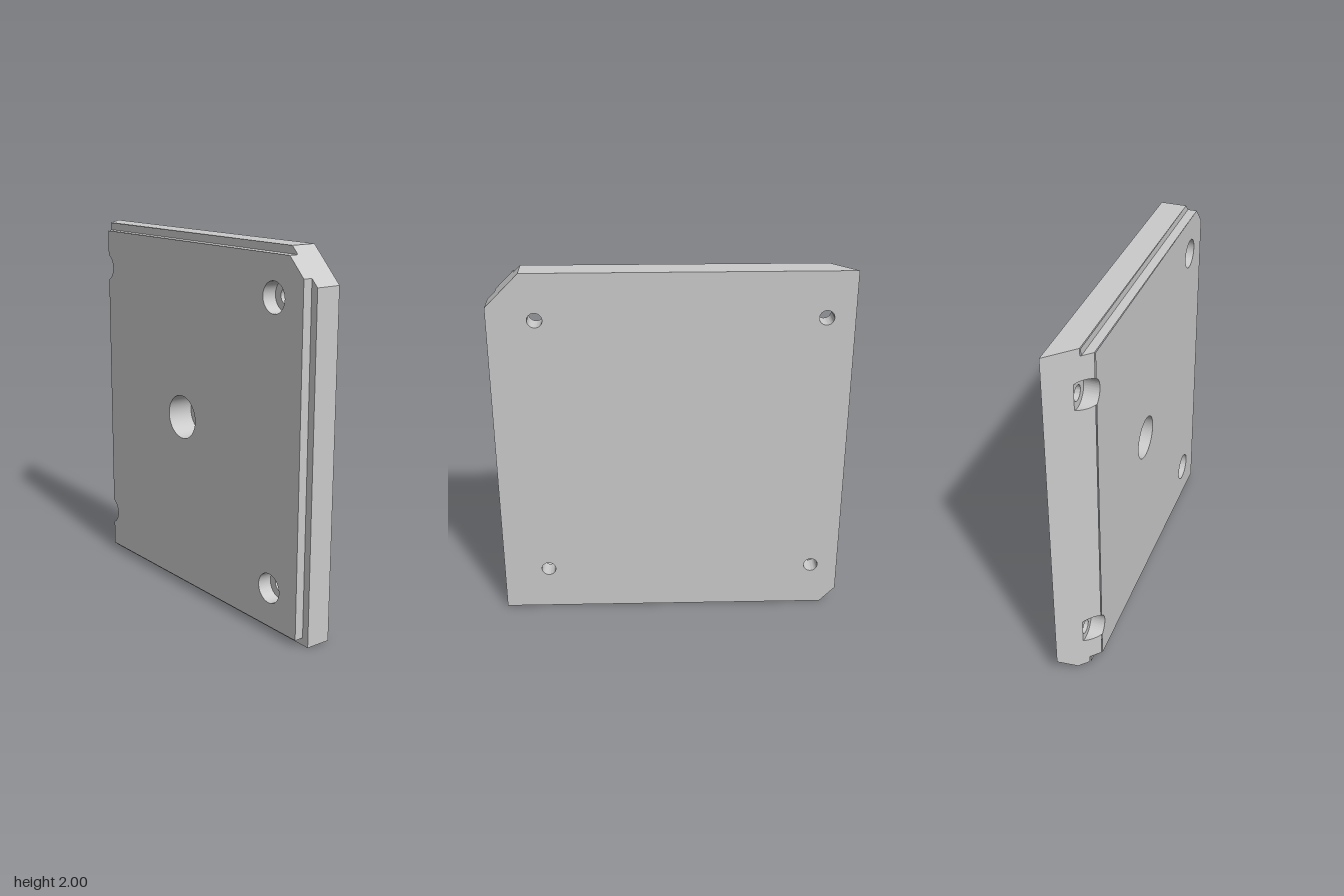
import * as THREE from 'three';
import { toCreasedNormals } from 'three/addons/utils/BufferGeometryUtils.js';

const BACK = -0.095, LEDGE = 0.045, FRONT = 0.095; // depth levels
const FLOOR = 0.015;                               // counterbore floor
const SCREW_R = 0.0395, BORE_R = 0.08;
const bevelZ = (x) => x + 0.855;                   // 45 degree edge on the -x side
const upTo = (top) => (x) => Math.min(bevelZ(x), top);

// Points along a circular arc
function arc(cx, cy, r, a0 = 0, a1 = Math.PI * 2, n = 48) {
  return Array.from({ length: n + 1 }, (_, i) => {
    const a = a0 + (a1 - a0) * i / n;
    return [cx + r * Math.cos(a), cy + r * Math.sin(a)];
  });
}
const toVectors = (pts) => pts.map(([x, y]) => new THREE.Vector2(x, y));

// Filled outline with holes, lifted to depth z(x); returns triangle positions
function face(outline, holes, z, flip = false) {
  const shape = new THREE.Shape(toVectors(outline));
  shape.holes = holes.map((h) => new THREE.Path(toVectors(h)));
  const geo = new THREE.ShapeGeometry(shape).toNonIndexed();
  const p = geo.attributes.position, out = [];
  for (let i = 0; i < p.count; i += 3) {
    for (const k of flip ? [0, 2, 1] : [0, 1, 2]) {
      const x = p.getX(i + k);
      out.push(x, p.getY(i + k), z(x));
    }
  }
  return out;
}

// Strip of wall along a path; outward for anticlockwise paths, inward if flipped
function wall(path, z0, z1, flip = false) {
  const pts = flip ? [...path].reverse() : path, out = [];
  for (let i = 0; i < pts.length - 1; i++) {
    const [px, py] = pts[i], [qx, qy] = pts[i + 1];
    out.push(px, py, z0, qx, qy, z0, qx, qy, z1(qx));
    out.push(px, py, z0, qx, qy, z1(qx), px, py, z1(px));
  }
  return out;
}

function createModel() {
  const model = new THREE.Group();
  const material = new THREE.MeshStandardMaterial({ color: 0xcccccc });
  const add = (name, ...parts) => {
    const geo = new THREE.BufferGeometry();
    geo.setAttribute('position', new THREE.Float32BufferAttribute(parts.flat(), 3));
    const mesh = new THREE.Mesh(toCreasedNormals(geo, 0.5), material);
    mesh.name = name;
    model.add(mesh);
  };
  const level = (z) => () => z;

  const LX = -0.8, RX = 0.7, rows = [0.25, 1.75];
  const tFront = Math.acos((-0.765 - LX) / BORE_R); // bore meets the front edge
  const tFloor = Math.acos((-0.84 - LX) / BORE_R);  // bore floor meets the bevel
  const screws = [LX, RX].flatMap((x) => rows.map((y) => [x, y]));
  const centre = arc(-0.05, 1, 0.12, 0, Math.PI * 2, 64);

  // Back plate with two clipped corners
  const outline = [[-0.95, 0.09], [-0.865, 0], [-0.815, 0], [0.95, 0],
    [0.95, 1.82], [0.77, 2], [-0.815, 2], [-0.95, 2]];
  add('backPlate',
    face(outline, screws.map(([x, y]) => arc(x, y, SCREW_R)), level(BACK), true),
    wall(outline, BACK, upTo(LEDGE)));

  // Stepped ledge around the raised panel
  add('ledge',
    face([[-0.815, 0], [0.95, 0], [0.95, 1.82], [0.91, 1.86], [0.91, 0.04], [-0.815, 0.04]], [], level(LEDGE)),
    face([[-0.815, 1.96], [0.81, 1.96], [0.77, 2], [-0.815, 2]], [], level(LEDGE)));

  // Raised front panel, notched by the bores beside the bevel
  const panel = [[-0.765, 0.04], [0.91, 0.04], [0.91, 1.86], [0.81, 1.96], [-0.765, 1.96]];
  const notches = [...rows].reverse().flatMap((y) => arc(LX, y, BORE_R, tFront, -tFront));
  add('frontPanel',
    face([...panel, ...notches], [...rows.map((y) => arc(RX, y, BORE_R)), centre], level(FRONT)),
    wall([[-0.815, 0.04], ...panel, [-0.815, 1.96]], LEDGE, upTo(FRONT)));

  // Sloping side
  const bites = rows.flatMap((y) => [
    ...arc(LX, y, BORE_R, -tFront, -tFloor, 16),
    ...arc(LX, y, BORE_R, tFloor, tFront, 16)]);
  add('bevelledSide', face([[-0.95, 0.09], [-0.865, 0], [-0.815, 0], [-0.815, 0.04], [-0.765, 0.04],
    ...bites, [-0.765, 1.96], [-0.815, 1.96], [-0.815, 2], [-0.95, 2]], [], bevelZ));

  // Counterbored screw holes
  for (const [x, y] of screws) {
    const bore = x === LX
      ? [...arc(x, y, BORE_R, -tFloor, -tFront, 16),
        ...arc(x, y, BORE_R, -tFront, tFront).slice(1, -1),
        ...arc(x, y, BORE_R, tFront, tFloor, 16)]
      : arc(x, y, BORE_R);
    const hole = arc(x, y, SCREW_R);
    add('screwHole',
      wall(hole, BACK, level(FLOOR), true),
      face(bore, [hole], level(FLOOR)),
      wall(bore, FLOOR, upTo(FRONT), true));
  }

  // Blind recess in the middle
  add('centreRecess',
    wall(centre, -0.055, level(FRONT), true),
    face(centre, [], level(-0.055)));

  return model;
}

export { createModel };
